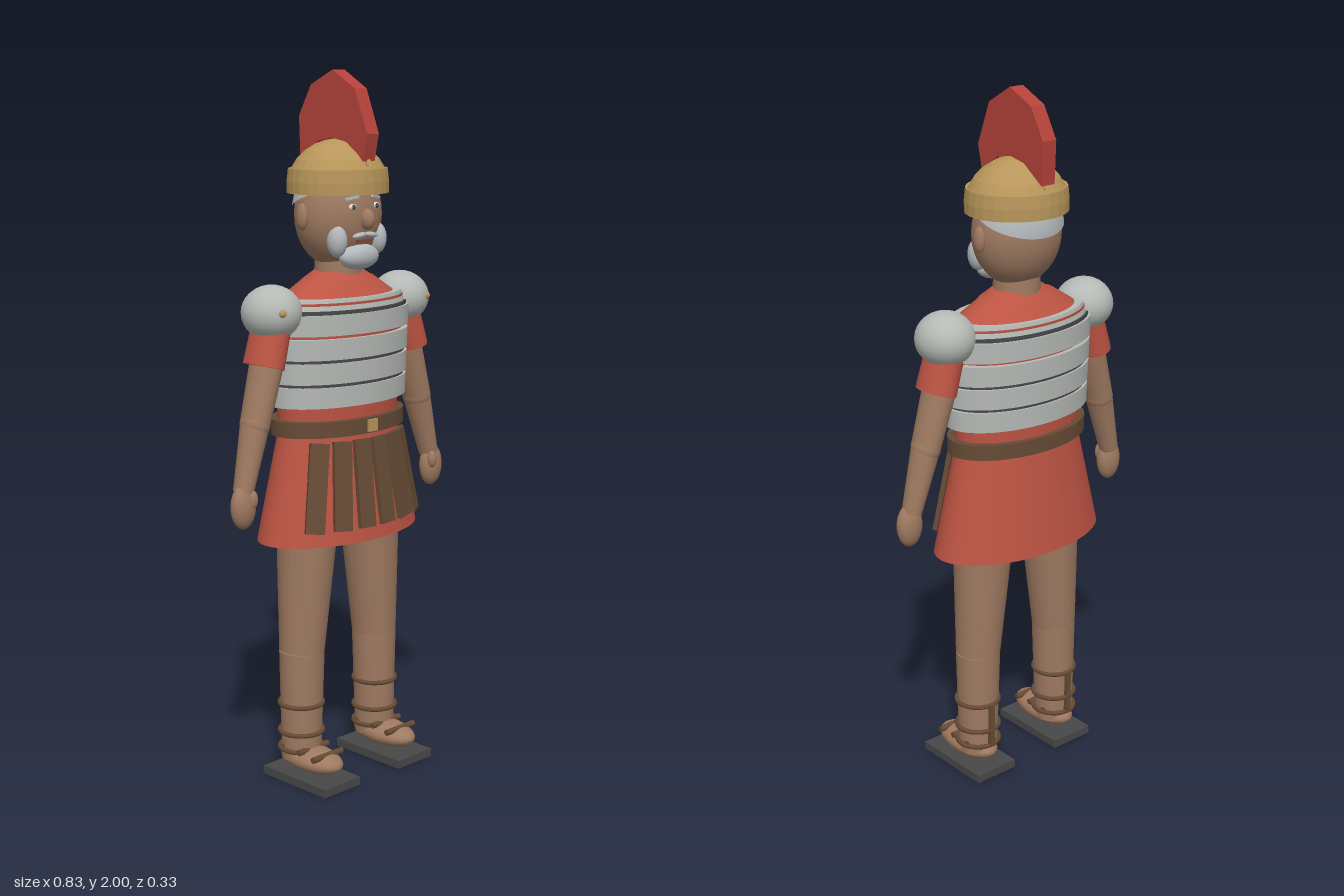
import * as THREE from 'three';

const mat = (name, hex, opts = {}) => {
  const m = new THREE.MeshStandardMaterial({ color: hex, ...opts });
  m.name = name;
  return m;
};

export function createModel() {
  const skin = mat('skin', 0x9f7a61);
  const tunic = mat('tunic red', 0xbd5443);
  const plume = mat('crest red', 0xb5423a, { flatShading: true });
  const steel = mat('steel', 0xb6bab6);
  const brass = mat('brass', 0xb8965a, { flatShading: true });
  const leather = mat('leather', 0x664b35);
  const dark = mat('dark grey', 0x484848);
  const hair = mat('grey hair', 0xb4b8ba);
  const white = mat('eye white', 0xdedede);
  const lip = mat('lip', 0x7d4638);

  const model = new THREE.Group();
  model.name = 'soldier';
  const body = new THREE.Group();
  body.name = 'body';
  body.position.z = -0.007;
  model.add(body);

  const add = (name, geo, material, x = 0, y = 0, z = 0) => {
    const m = new THREE.Mesh(geo, material);
    m.name = name;
    m.position.set(x, y, z);
    body.add(m);
    return m;
  };
  const blob = (name, material, p, r) => {
    const m = add(name, new THREE.SphereGeometry(1, 24, 16), material, ...p);
    m.scale.set(...r);
    return m;
  };
  // tapered cylinder running from a (top) to b (bottom)
  const limb = (name, material, a, b, ra, rb) => {
    const A = new THREE.Vector3(...a), B = new THREE.Vector3(...b);
    const m = add(name, new THREE.CylinderGeometry(ra, rb, A.distanceTo(B), 24), material);
    m.position.copy(A).add(B).multiplyScalar(0.5);
    m.quaternion.setFromUnitVectors(new THREE.Vector3(0, 1, 0), A.sub(B).normalize());
    return m;
  };
  // elliptical ring of the trunk between two heights
  const FLAT = 0.57;
  const hoop = (name, material, y0, y1, rBottom, rTop, flat = FLAT) => {
    const m = add(name, new THREE.CylinderGeometry(rTop, rBottom, y1 - y0, 48), material, 0, (y0 + y1) / 2);
    m.scale.z = flat;
    return m;
  };

  // tunic: skirt, waist and sloping shoulders
  hoop('skirt', tunic, 0.71, 1.01, 0.278, 0.207);
  hoop('waist', tunic, 0.99, 1.12, 0.205, 0.21);
  hoop('chest', tunic, 1.1, 1.38, 0.215, 0.225);
  hoop('tunicShoulders', tunic, 1.375, 1.435, 0.213, 0.12, 0.58);
  hoop('collar', tunic, 1.43, 1.455, 0.12, 0.08, 0.7);

  // overlapping steel bands with dark seams
  for (let i = 0; i < 4; i++) {
    const y = 1.093 + i * 0.0665, r = 0.236 + i * 0.003;
    hoop('armourBand', steel, y, y + 0.057, r, r + 0.002);
    if (i !== 2) hoop('armourSeam', dark, y + 0.055, y + 0.067, r - 0.008, r - 0.008);
  }
  hoop('topArmourBand', steel, 1.36, 1.39, 0.23, 0.218);

  // belt and buckle
  hoop('belt', leather, 1.01, 1.054, 0.228, 0.228, 0.59);
  add('buckle', new THREE.BoxGeometry(0.034, 0.034, 0.012), brass, 0, 1.032, 0.136);

  // leather strips hanging over the front of the skirt
  for (const x of [0.038, 0.114, 0.187]) for (const s of [-1, 1]) {
    const t = Math.asin(x / 0.262);
    const at = (r, y) => new THREE.Vector3(s * r * Math.sin(t), y, FLAT * r * Math.cos(t));
    const top = at(0.222, 0.995), bottom = at(0.281, 0.75);
    const up = top.clone().sub(bottom).normalize();
    const side = new THREE.Vector3(Math.cos(t), 0, -s * FLAT * Math.sin(t)).normalize();
    const out = side.clone().cross(up).normalize();
    side.crossVectors(up, out);
    const m = add('skirtStrip', new THREE.BoxGeometry(0.055, top.distanceTo(bottom), 0.014), leather);
    m.position.copy(top).add(bottom).multiplyScalar(0.5);
    m.quaternion.setFromRotationMatrix(new THREE.Matrix4().makeBasis(side, up, out));
  }

  for (const s of [-1, 1]) {
    // arm, sleeve and shoulder plate
    blob('shoulderPlate', steel, [s * 0.252, 1.357, 0], [0.083, 0.076, 0.085]);
    blob('shoulderRivet', brass, [s * 0.282, 1.364, 0.077], [0.011, 0.011, 0.009]);
    limb('sleeve', tunic, [s * 0.245, 1.35, 0], [s * 0.285, 1.213, 0.002], 0.06, 0.064)
      .scale.x = 0.8;
    limb('upperArm', skin, [s * 0.25, 1.3, 0], [s * 0.321, 1.06, 0.005], 0.054, 0.045).scale.x = 0.85;
    blob('elbow', skin, [s * 0.321, 1.06, 0.005], [0.039, 0.044, 0.045]);
    limb('forearm', skin, [s * 0.321, 1.06, 0.005], [s * 0.37, 0.88, 0.01], 0.043, 0.03).scale.x = 0.9;
    blob('hand', skin, [s * 0.375, 0.842, 0.015], [0.039, 0.063, 0.029]);
    blob('thumb', skin, [s * 0.358, 0.862, 0.036], [0.014, 0.026, 0.013]);

    // leg
    limb('thigh', skin, [s * 0.118, 0.85, 0.002], [s * 0.147, 0.38, 0.002], 0.094, 0.065);
    limb('shin', skin, [s * 0.147, 0.38, 0.002], [s * 0.15, 0.06, 0.002], 0.065, 0.057);

    // sandal
    blob('foot', skin, [s * 0.15, 0.065, 0.045], [0.06, 0.037, 0.113]);
    add('sole', new THREE.BoxGeometry(0.14, 0.024, 0.255), dark, s * 0.15, 0.012, 0.0425);
    for (const y of [0.225, 0.142, 0.092]) {
      const ring = add('ankleStrap', new THREE.TorusGeometry(0.062, 0.007, 8, 32), leather, s * 0.15, y, 0.002);
      ring.rotation.x = Math.PI / 2;
    }
    add('heelStrap', new THREE.BoxGeometry(0.016, 0.135, 0.014), leather, s * 0.15, 0.16, -0.061);
    for (const [z, y] of [[0.108, 0.09], [0.05, 0.096], [-0.015, 0.096]]) {
      const bar = add('footStrap', new THREE.CylinderGeometry(0.009, 0.009, 0.115, 10), leather, s * 0.15, y, z);
      bar.rotation.z = Math.PI / 2;
    }
  }

  // head and neck
  limb('neck', skin, [0, 1.53, 0], [0, 1.42, 0], 0.063, 0.068);
  blob('head', skin, [0, 1.61, 0], [0.133, 0.15, 0.111]);
  blob('nose', skin, [0, 1.6, 0.113], [0.019, 0.029, 0.024]);
  const hairCap = add('hair', new THREE.SphereGeometry(1, 32, 16, 0, Math.PI * 2, 0, 1.25), hair, 0, 1.61, 0);
  hairCap.geometry.rotateX(-0.3);
  hairCap.scale.set(0.138, 0.156, 0.118);
  hairCap.material = hair;

  // face
  blob('chinBeard', hair, [0, 1.497, 0.082], [0.07, 0.036, 0.035]);
  add('mouth', new THREE.BoxGeometry(0.06, 0.01, 0.008), lip, 0, 1.54, 0.103);
  for (const s of [-1, 1]) {
    blob('ear', skin, [s * 0.134, 1.608, -0.003], [0.014, 0.036, 0.02]);
    blob('cheekBeard', hair, [s * 0.077, 1.543, 0.074], [0.027, 0.044, 0.03]);
    const stache = blob('moustache', hair, [s * 0.022, 1.557, 0.106], [0.026, 0.008, 0.01]);
    stache.rotation.z = -s * 0.12;
    blob('eye', white, [s * 0.045, 1.635, 0.102], [0.014, 0.009, 0.006]);
    blob('pupil', dark, [s * 0.045, 1.635, 0.106], [0.007, 0.007, 0.004]);
    const brow = add('eyebrow', new THREE.BoxGeometry(0.042, 0.007, 0.008), hair, s * 0.046, 1.659, 0.1);
    brow.rotation.set(0, s * 0.3, -s * 0.15);
  }

  // helmet: brim band and dome
  const profile = [[0.13, 1.668], [0.147, 1.668], [0.147, 1.7], [0.143, 1.735]];
  for (let i = 0; i <= 5; i++) {
    const a = 0.4 + i * (Math.PI / 2 - 0.4) / 5;
    profile.push([0.148 * Math.cos(a), 1.68 + 0.135 * Math.sin(a)]);
  }
  const helmet = add('helmet', new THREE.LatheGeometry(
    profile.map(([r, y]) => new THREE.Vector2(Math.max(r, 0), y)), 28), brass);
  helmet.scale.z = 0.925;
  const rail = add('crestRail', new THREE.TorusGeometry(0.137, 0.009, 8, 24, Math.PI * 0.7), brass, 0, 1.68, 0);
  rail.geometry.rotateZ(Math.PI * 0.15);
  rail.rotation.y = -Math.PI / 2;

  // fan-shaped crest, drawn as (forward, up)
  const fan = new THREE.Shape([
    [0.118, 1.757], [0.134, 1.83], [0.087, 1.95], [0.002, 2], [-0.083, 1.96], [-0.131, 1.875], [-0.126, 1.757],
    [-0.1, 1.775], [-0.055, 1.807], [0, 1.818], [0.055, 1.807], [0.1, 1.775],
  ].map(([x, y]) => new THREE.Vector2(x, y)));
  const crestGeo = new THREE.ExtrudeGeometry(fan, { depth: 0.046, bevelEnabled: false });
  crestGeo.translate(0, 0, -0.023).rotateY(-Math.PI / 2);
  add('crest', crestGeo, plume);

  return model;
}
